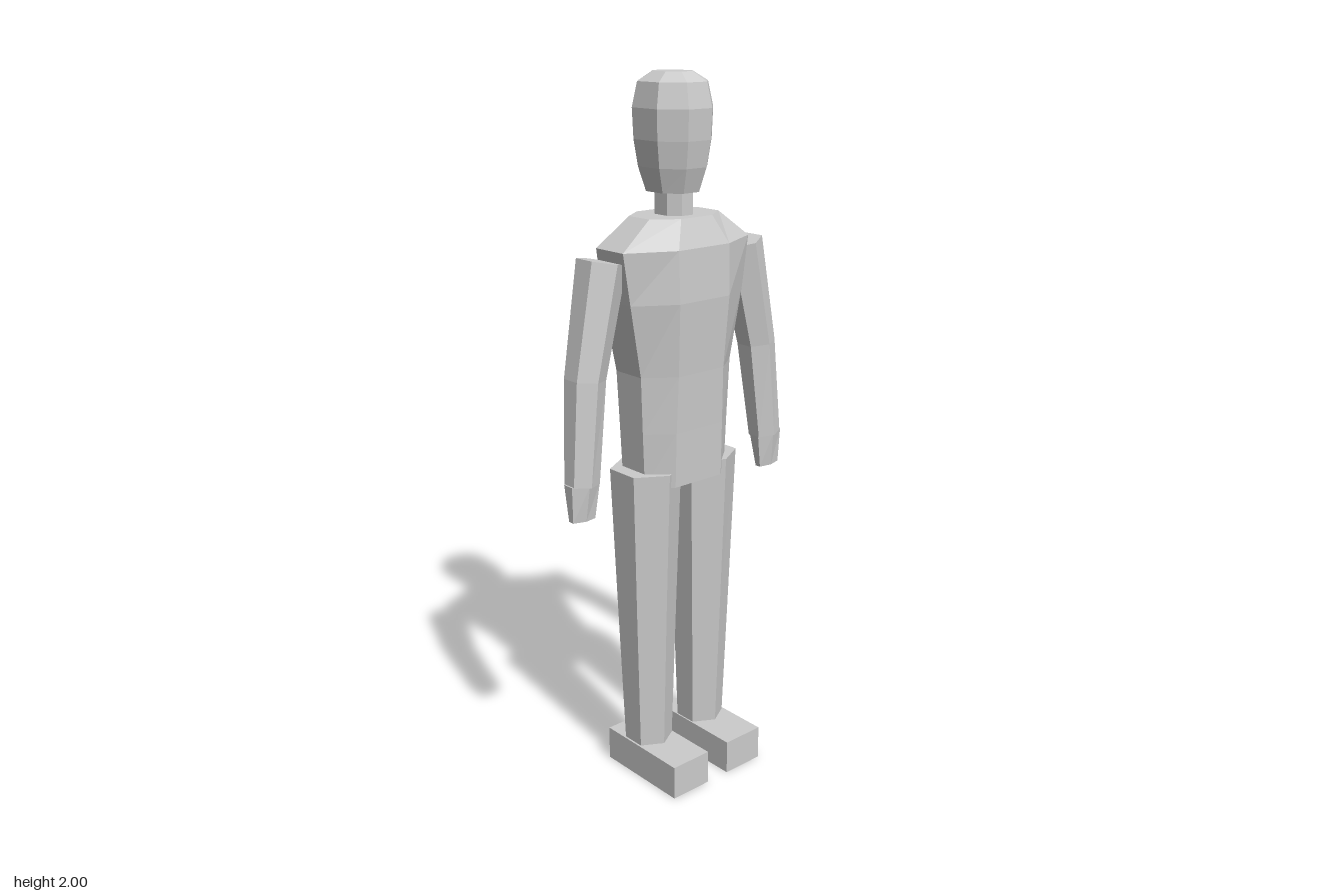
import * as THREE from 'three';

const material = new THREE.MeshStandardMaterial({ color: 0xcccccc, flatShading: true });

// Outlines in unit size, counter-clockwise seen from above, starting at the front
const hexagon = () => [[0, 1], [1, 0.5], [1, -0.5], [0, -1], [-1, -0.5], [-1, 0.5]];
const octagon = (k = 0.414) => {
  const m = 0.46;
  return [[k, 1], [1, m], [1, -m], [k, -1], [-k, -1], [-1, -m], [-1, m], [-k, 1]];
};

// Closed faceted solid through rings listed bottom to top.
// ring: [x, y, z, halfWidth, halfDepth, tilt (rise per x), front flat ratio]
function loft(name, outline, rings) {
  const loops = rings.map(([x, y, z, hx, hz, tilt = 0, k]) =>
    outline(k).map(([px, pz]) => [x + px * hx, y + px * hx * tilt, z + pz * hz]));
  const n = loops[0].length;
  const position = [];
  const tri = (a, b, c) => position.push(...a, ...b, ...c);
  for (let r = 0; r < loops.length - 1; r++) {
    const low = loops[r], high = loops[r + 1];
    for (let i = 0; i < n; i++) {
      const j = (i + 1) % n;
      tri(low[i], low[j], high[j]);
      tri(low[i], high[j], high[i]);
    }
  }
  const bottom = loops[0], top = loops[loops.length - 1];
  for (let i = 1; i < n - 1; i++) {
    tri(top[0], top[i], top[i + 1]);
    tri(bottom[0], bottom[i + 1], bottom[i]);
  }
  const geometry = new THREE.BufferGeometry();
  geometry.setAttribute('position', new THREE.Float32BufferAttribute(position, 3));
  geometry.computeVertexNormals();
  const mesh = new THREE.Mesh(geometry, material);
  mesh.name = name;
  return mesh;
}

function createArm(s, side) {
  const arm = new THREE.Group();
  arm.name = side + 'Arm';
  const elbow = [s * 0.312, 1.235, -0.027, 0.048, 0.055, s * 0.1];
  arm.add(
    loft('upperArm', hexagon, [elbow, [s * 0.245, 1.535, -0.034, 0.057, 0.066, s * 0.2]]),
    loft('forearm', hexagon, [[s * 0.34, 0.955, -0.014, 0.043, 0.042, s * 0.08], elbow]),
    loft('hand', hexagon, [
      [s * 0.347, 0.857, -0.008, 0.037, 0.018, s * 0.04],
      [s * 0.342, 0.957, -0.012, 0.046, 0.034, s * 0.08],
    ]),
  );
  return arm;
}

function createLeg(s, side) {
  const leg = new THREE.Group();
  leg.name = side + 'Leg';
  const knee = [s * 0.104, 0.52, -0.032, 0.073, 0.085];
  const foot = new THREE.Mesh(new THREE.BoxGeometry(0.13, 0.1, 0.296), material);
  foot.name = 'foot';
  foot.position.set(s * 0.103, 0.05, 0.01);
  leg.add(
    loft('thigh', hexagon, [knee, [s * 0.105, 0.945, -0.032, 0.086, 0.102]]),
    loft('shin', hexagon, [[s * 0.102, 0.1, -0.032, 0.06, 0.069], knee]),
    foot,
  );
  return leg;
}

export function createModel() {
  const figure = new THREE.Group();
  figure.name = 'figure';

  // Trunk
  const waist = [0, 1.06, -0.032, 0.155, 0.106, 0, 0.54];
  figure.add(
    loft('pelvis', octagon, [[0, 0.905, -0.032, 0.148, 0.102, 0, 0.57], waist]),
    loft('chest', octagon, [
      waist,
      [0, 1.22, -0.032, 0.162, 0.112, 0, 0.5],
      [0, 1.42, -0.032, 0.2, 0.126, 0, 0.44],
      [0, 1.56, -0.03, 0.222, 0.12, 0, 0.4],
      [0, 1.635, -0.03, 0.122, 0.09, 0, 0.45],
    ]),
  );

  // Neck and head
  figure.add(
    loft('neck', octagon, [
      [0, 1.62, -0.032, 0.046, 0.055],
      [0, 1.71, -0.032, 0.046, 0.055],
    ]),
    loft('head', octagon, [
      [0, 1.695, -0.035, 0.065, 0.073],
      [0, 1.76, -0.035, 0.084, 0.093],
      [0, 1.83, -0.035, 0.094, 0.104],
      [0, 1.91, -0.035, 0.097, 0.108],
      [0, 1.975, -0.035, 0.084, 0.094],
      [0, 2.0, -0.035, 0.046, 0.056],
    ]),
  );

  // Limbs
  for (const [s, side] of [[1, 'left'], [-1, 'right']]) {
    figure.add(createArm(s, side), createLeg(s, side));
  }
  return figure;
}
